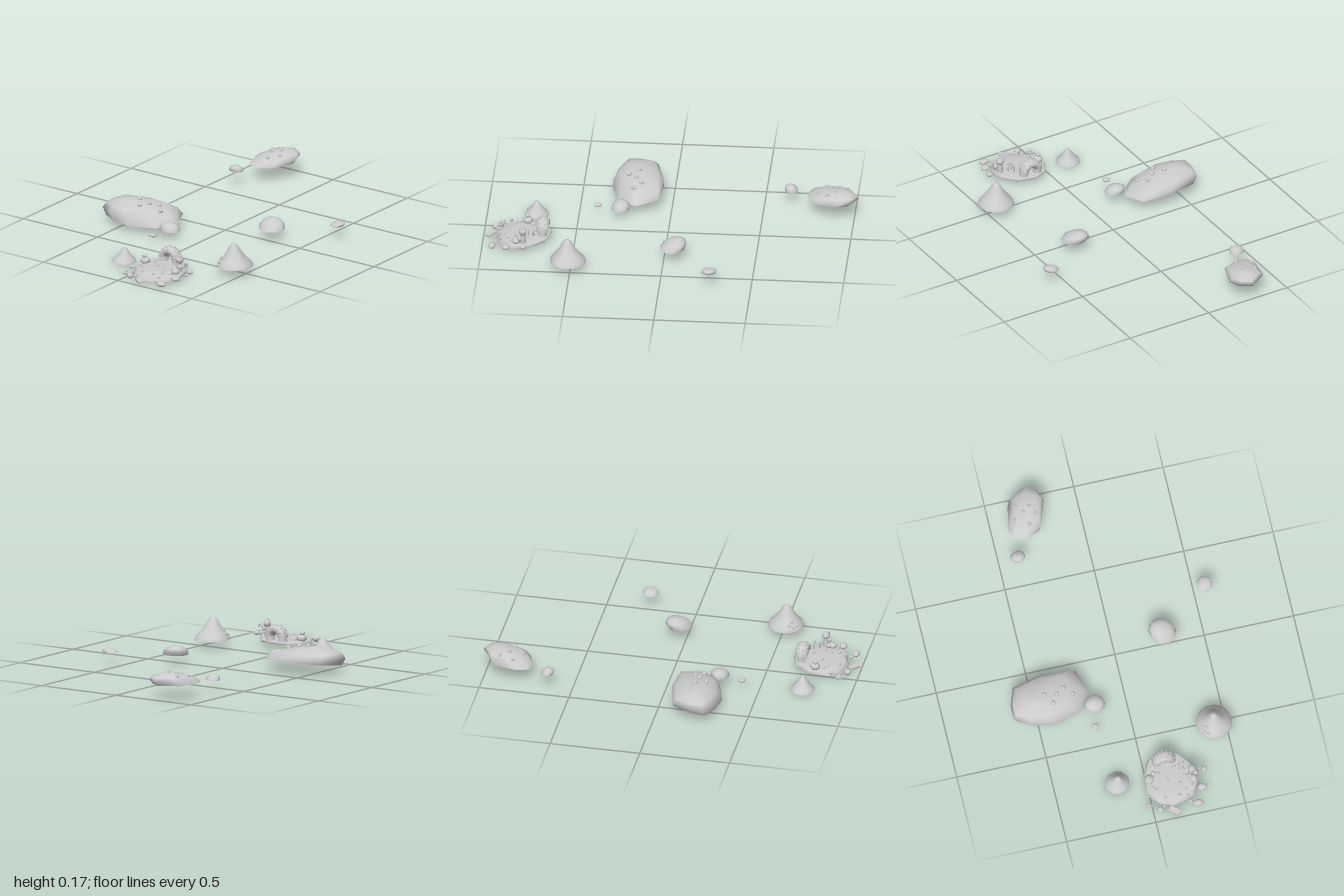
import * as THREE from 'three';
import { mergeVertices } from 'three/addons/utils/BufferGeometryUtils.js';

const rock = new THREE.MeshStandardMaterial({ color: 0xcccccc, side: THREE.DoubleSide });

// Side profiles from rim to summit: [outline scale, height fraction]
const DOME = [[1, 0], [0.98, 0.4], [0.8, 0.68], [0.5, 0.86], [0.22, 0.97], [0, 1]];
const PEAK = [[1, 0], [0.95, 0.12], [0.72, 0.3], [0.45, 0.58], [0.25, 0.86], [0.12, 0.97], [0, 1]];
const PLATE = [[1, 0], [0.99, 0.5], [0.92, 0.85], [0.6, 0.95], [0, 1]];

let seed = 7;
const rand = () => (seed = (seed * 16807) % 2147483647) / 2147483647;

// Slightly uneven round outline
function ring(cx, cz, rx, rz, n = 10) {
  return Array.from({ length: n }, (_, i) => {
    const a = (i / n) * Math.PI * 2, k = 0.95 + 0.08 * rand();
    return [cx + Math.cos(a) * rx * k, cz + Math.sin(a) * rz * k];
  });
}

// Open-bottomed shell lofted from an outline to a summit; the rim follows a sloping ground
function mound(group, name, outline, profile, summit, rimY, slope = 0) {
  const n = outline.length, pos = [], idx = [];
  const cx = outline.reduce((s, p) => s + p[0], 0) / n;
  const cz = outline.reduce((s, p) => s + p[1], 0) / n;
  profile.forEach(([s, h]) => {
    const mx = cx + (summit[0] - cx) * h, mz = cz + (summit[2] - cz) * h;
    outline.forEach(([x, z]) => {
      const ground = rimY + slope * (z - cz);
      pos.push(mx + (x - cx) * s, ground * (1 - h) + summit[1] * h, mz + (z - cz) * s);
    });
  });
  for (let r = 0; r < profile.length - 1; r++) {
    for (let i = 0; i < n; i++) {
      const a = r * n + i, b = r * n + (i + 1) % n, c = a + n, d = b + n;
      idx.push(a, c, b);
      if (r < profile.length - 2) idx.push(b, c, d);
    }
  }
  let geo = new THREE.BufferGeometry();
  geo.setAttribute('position', new THREE.Float32BufferAttribute(pos, 3));
  geo.setIndex(idx);
  geo = mergeVertices(geo, 1e-5);
  geo.computeVertexNormals();
  return add(group, name, geo, 0, 0, 0);
}

function add(group, name, geo, x, y, z) {
  const mesh = new THREE.Mesh(geo, rock);
  mesh.name = name;
  mesh.position.set(x, y, z);
  group.add(mesh);
  return mesh;
}

function ball(group, name, x, y, z, r, sy = 1, sz = 1) {
  const m = add(group, name, new THREE.SphereGeometry(r, 10, 7), x, y, z);
  m.scale.set(1, sy, sz);
  return m;
}

// Height of a mound's surface at x, z
function heightAt(mesh, x, z) {
  mesh.updateMatrixWorld(true);
  const ray = new THREE.Raycaster(new THREE.Vector3(x, 1, z), new THREE.Vector3(0, -1, 0));
  const hit = ray.intersectObject(mesh)[0];
  return hit ? hit.point.y : 0.03;
}

function studs(group, mesh, points, r) {
  points.forEach(([x, z]) => ball(group, 'stud', x, heightAt(mesh, x, z) + r * 0.2, z, r));
}

// Thin curled stem standing on the plate
function curl(group, x, y, z, dir) {
  const path = [[0, 0], [0.004, 0.025], [0.014, 0.04], [0.025, 0.034], [0.024, 0.022]]
    .map(([u, v]) => new THREE.Vector3(x + u * dir, y + v, z));
  add(group, 'curledStem', new THREE.TubeGeometry(new THREE.CatmullRomCurve3(path), 12, 0.004, 6), 0, 0, 0);
}

function createReef() {
  const reef = new THREE.Group();
  reef.name = 'reef';
  const outline = [[0.11, 0.63], [0.21, 0.66], [0.27, 0.74], [0.28, 0.83], [0.23, 0.9],
    [0.12, 0.93], [0.04, 0.9], [-0.01, 0.84], [-0.01, 0.74], [0.03, 0.66]];
  const plate = mound(reef, 'reefPlate', outline, PLATE, [0.13, 0.05, 0.77], 0.022, -0.09);

  // Knobbly arch at the back
  const arch = add(reef, 'arch', new THREE.TorusGeometry(0.042, 0.024, 10, 18, Math.PI), 0.118, 0.07, 0.675);
  arch.scale.z = 1.45;
  [-1, 1].forEach(s => add(reef, 'archFoot', new THREE.CylinderGeometry(0.023, 0.026, 0.035, 10), 0.118 + s * 0.042, 0.056, 0.675));
  for (let i = 0; i < 24; i++) {
    const a = 0.2 + (i / 23) * 2.74, b = ((i % 4) - 1.5) * 0.75;
    const rr = 0.042 + 0.024 * Math.cos(b);
    ball(reef, 'archKnob', 0.118 + Math.cos(a) * rr, 0.07 + Math.sin(a) * rr, 0.675 + Math.sin(b) * 0.035, 0.005);
  }

  // Left boulder stack
  ball(reef, 'boulder', 0.015, 0.058, 0.765, 0.027, 0.8);
  ball(reef, 'boulder', 0.012, 0.085, 0.768, 0.014, 0.8);
  ball(reef, 'boulder', 0.045, 0.05, 0.735, 0.014);

  // Right stalk with round heads
  add(reef, 'stalk', new THREE.CylinderGeometry(0.011, 0.018, 0.07, 8), 0.25, 0.075, 0.775);
  ball(reef, 'stalkHead', 0.252, 0.114, 0.775, 0.022, 0.95);
  ball(reef, 'stalkHead', 0.255, 0.134, 0.78, 0.009);
  ball(reef, 'boulder', 0.252, 0.055, 0.812, 0.022, 0.8);
  ball(reef, 'boulder', 0.235, 0.062, 0.795, 0.014);
  ball(reef, 'boulder', 0.27, 0.078, 0.79, 0.013);

  curl(reef, 0.192, 0.058, 0.72, 1);
  curl(reef, 0.215, 0.055, 0.75, -1);
  curl(reef, 0.285, 0.065, 0.78, 1);

  studs(reef, plate, [[0.11, 0.785], [0.21, 0.78], [0.07, 0.7], [0.08, 0.885], [0.24, 0.84], [0.04, 0.83],
    [0.16, 0.89], [0.2, 0.86], [0.165, 0.725], [0.07, 0.74], [0.02, 0.81], [0.2, 0.895], [0.18, 0.82]], 0.009);

  // Loose pebbles around the rim: x, y, z, radius, flattening, depth
  [[0.32, 0.055, 0.77, 0.017, 0.7, 1], [0.29, 0.037, 0.865, 0.026, 0.5, 0.8], [0.25, 0.021, 0.945, 0.03, 0.45, 0.65],
    [0.04, 0.025, 0.94, 0.018, 0.9, 1], [0.065, 0.025, 0.925, 0.009, 1, 1], [-0.012, 0.042, 0.858, 0.01, 1, 1],
    [0.21, 0.022, 0.925, 0.011, 0.7, 1], [0.315, 0.045, 0.8, 0.008, 1, 1]]
    .forEach(p => ball(reef, 'pebble', ...p));
  const slab = add(reef, 'slab', new THREE.BoxGeometry(0.062, 0.012, 0.03), 0.115, 0.018, 0.96);
  slab.rotation.set(0.1, -0.65, 0);

  // Small cluster of lumps at the front left
  for (let i = 0; i < 5; i++) {
    const a = i * Math.PI * 0.4;
    ball(reef, 'lump', -0.015 + Math.cos(a) * 0.014, 0.02, 0.905 + Math.sin(a) * 0.014, 0.008);
  }
  ball(reef, 'lump', -0.015, 0.027, 0.905, 0.011);
  return reef;
}

export function createModel() {
  const g = new THREE.Group();
  g.name = 'rockField';

  // Large mound
  const big = mound(g, 'largeMound', [[-0.605, 0.195], [-0.57, 0.095], [-0.4, 0.055], [-0.235, 0.07], [-0.19, 0.195],
    [-0.26, 0.29], [-0.41, 0.335], [-0.525, 0.315], [-0.605, 0.275]], DOME, [-0.49, 0.15, 0.205], 0.055, -0.12);
  studs(g, big, [[-0.44, 0.19], [-0.37, 0.2], [-0.325, 0.17], [-0.285, 0.21], [-0.4, 0.245]], 0.013);

  // Far mound
  const far = mound(g, 'farMound', [[-0.28, -1], [-0.22, -0.96], [-0.195, -0.9], [-0.245, -0.765], [-0.325, -0.735],
    [-0.39, -0.75], [-0.41, -0.81], [-0.385, -0.935]], DOME, [-0.28, 0.15, -0.92], 0.087);
  studs(g, far, [[-0.35, -0.915], [-0.275, -0.895], [-0.315, -0.87], [-0.37, -0.84], [-0.25, -0.85], [-0.295, -0.8]], 0.01);

  // Pointed mounds
  const cone = mound(g, 'rightPeak', ring(0.437, 0.515, 0.1, 0.1, 14), PEAK, [0.432, 0.175, 0.52], 0.045);
  studs(g, cone, [[0.37, 0.57], [0.385, 0.555], [0.365, 0.545], [0.39, 0.585]], 0.009);
  mound(g, 'leftPeak', ring(-0.155, 0.73, 0.068, 0.068, 12), PEAK, [-0.15, 0.09, 0.73], 0.006);

  // Small scattered rocks
  mound(g, 'wedgeRock', ring(0.28, -0.045, 0.073, 0.067), DOME, [0.26, 0.117, -0.075], 0.063);
  mound(g, 'sideRock', ring(-0.175, 0.275, 0.058, 0.05), DOME, [-0.185, 0.092, 0.27], 0.05);
  mound(g, 'eastRock', ring(0.557, -0.265, 0.042, 0.042), DOME, [0.575, 0.1, -0.27], 0.076);
  mound(g, 'farRock', ring(-0.395, -0.645, 0.042, 0.036), DOME, [-0.395, 0.114, -0.635], 0.08);
  ball(g, 'pebble', -0.2, 0.051, 0.4, 0.021, 0.5);

  g.add(createReef());
  return g;
}
